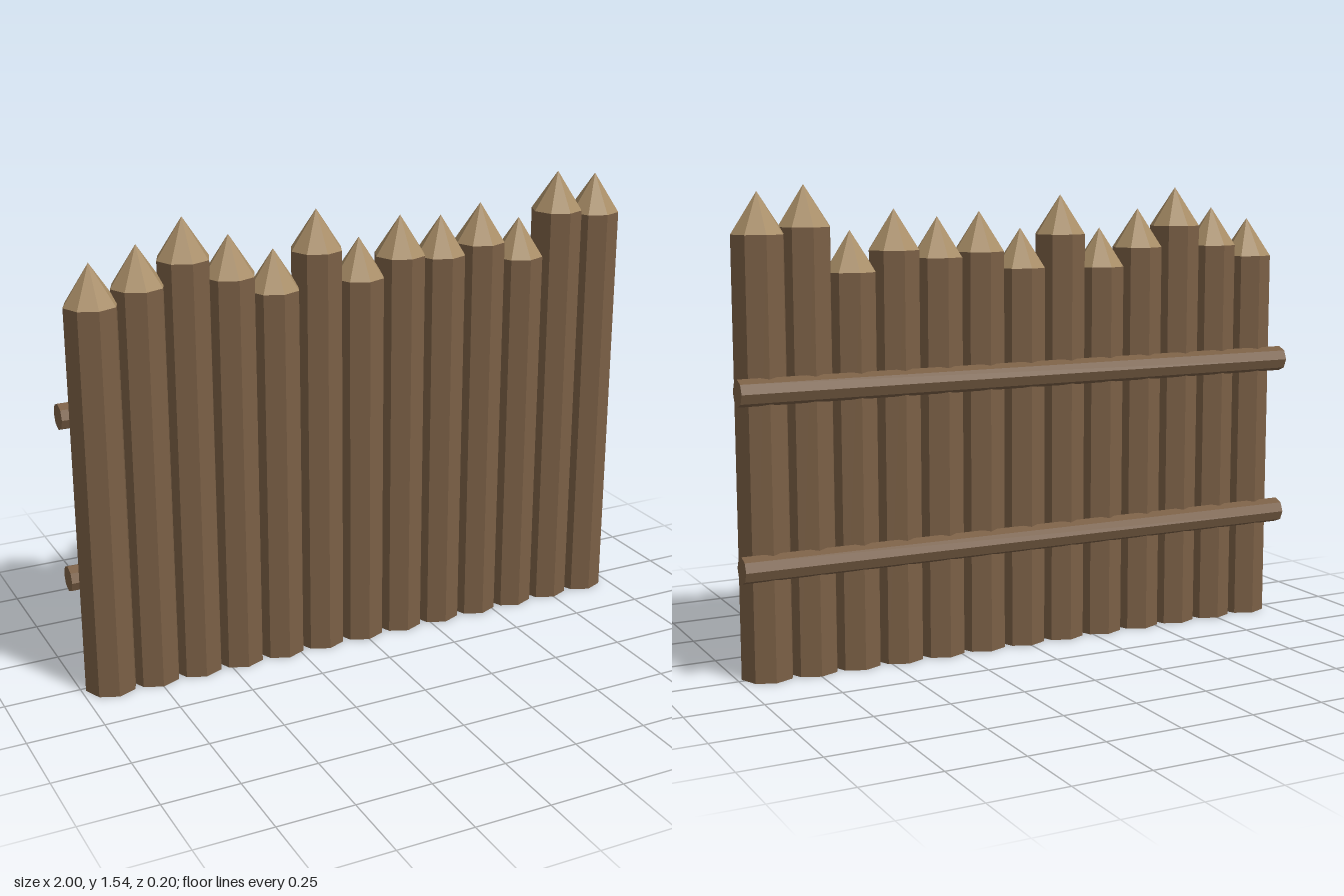
import * as THREE from 'three';

export function createModel() {
  const bark = new THREE.MeshStandardMaterial({ color: 0x7a5f45, flatShading: true });
  bark.name = 'bark brown';
  const cutWood = new THREE.MeshStandardMaterial({ color: 0xa88d66, flatShading: true });
  cutWood.name = 'cut wood tan';

  const group = new THREE.Group();
  group.name = 'palisade';
  const add = (parent, name, geometry, material, x, y, z) => {
    const mesh = new THREE.Mesh(geometry, material);
    mesh.name = name;
    mesh.position.set(x, y, z);
    parent.add(mesh);
    return mesh;
  };

  // Upright logs with sharpened ends, listed by shoulder height from the right end
  const radius = 0.086, pitch = 0.15, tipHeight = 0.13, logZ = 0.015;
  const shoulders = [1.285, 1.325, 1.395, 1.325, 1.263, 1.375, 1.268, 1.325, 1.31, 1.337, 1.272, 1.415, 1.395];
  shoulders.forEach((h, i) => {
    const stake = new THREE.Group();
    stake.name = `stake${i + 1}`;
    stake.position.set((i - 6) * pitch, 0, logZ);
    add(stake, 'log', new THREE.CylinderGeometry(radius, radius, h, 8), bark, 0, h / 2, 0);
    add(stake, 'sharpenedTip', new THREE.ConeGeometry(radius, tipHeight, 8, 1, true), cutWood, 0, h + tipHeight / 2, 0);
    group.add(stake);
  });

  // Horizontal rails across the back
  [['lowerRail', 0.37], ['upperRail', 0.92]].forEach(([name, y]) => {
    const rail = new THREE.CylinderGeometry(0.043, 0.043, 2, 8);
    add(group, name, rail, bark, 0, y, -0.06).rotation.z = Math.PI / 2;
  });

  return group;
}
